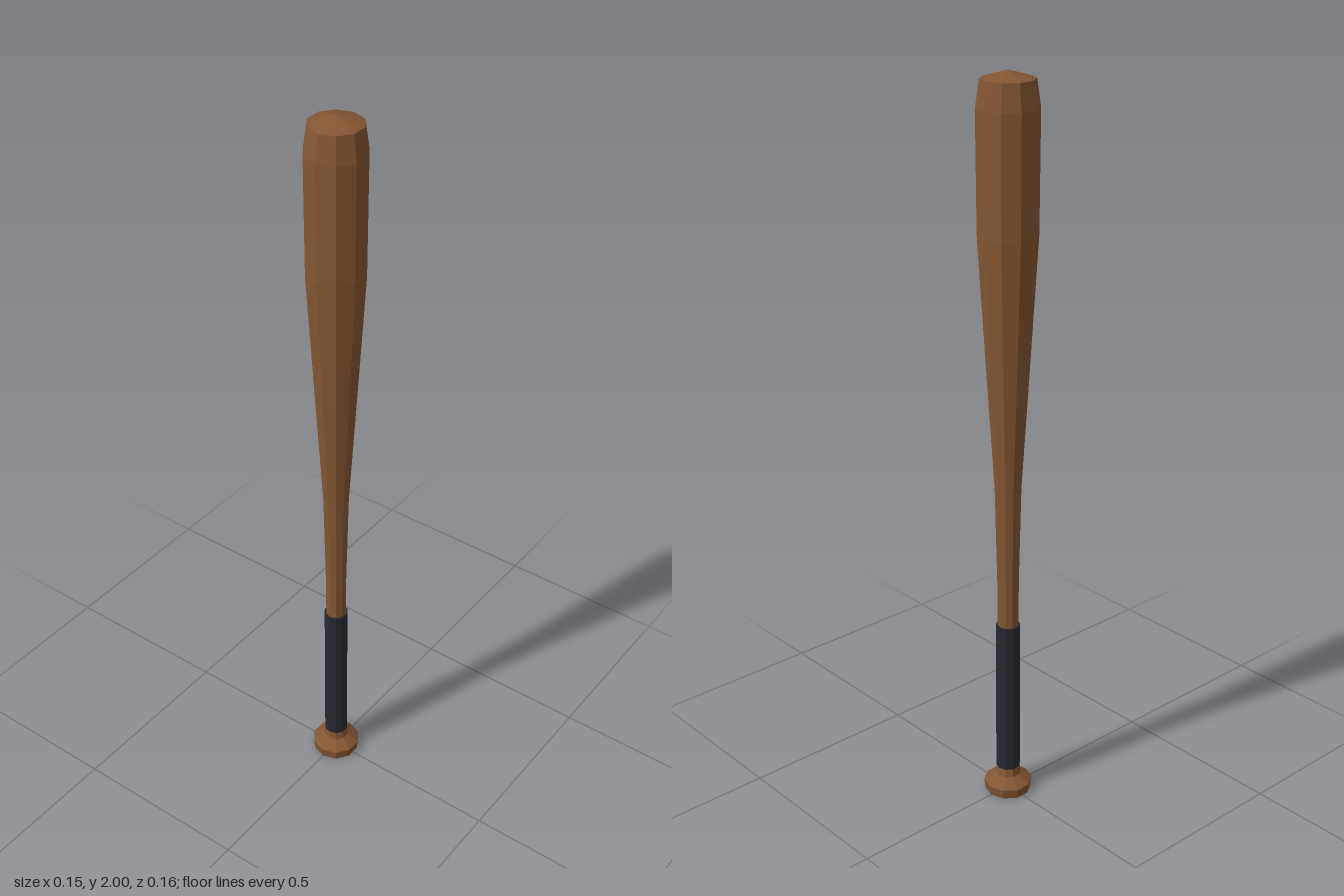
import * as THREE from 'three';

const SIDES = 10;

export function createModel() {
  const wood = new THREE.MeshStandardMaterial({ color: 0x845632 });
  wood.name = 'brown wood';
  wood.flatShading = true;
  const wrap = new THREE.MeshStandardMaterial({ color: 0x272731 });
  wrap.name = 'dark grip wrap';
  wrap.flatShading = true;

  const bat = new THREE.Group();
  bat.name = 'bat';

  // Turned part from [radius, height] pairs, listed bottom to top
  const turn = (name, material, profile) => {
    const points = profile.map(([r, y]) => new THREE.Vector2(r, y));
    const mesh = new THREE.Mesh(new THREE.LatheGeometry(points, SIDES), material);
    mesh.name = name;
    bat.add(mesh);
  };

  // Flared knob and the short neck above it
  turn('knob', wood, [[0, 0], [0.063, 0], [0.067, 0.028], [0.036, 0.052], [0.03, 0.085]]);

  // Wrapped grip with closed ends
  turn('grip', wrap, [[0, 0.075], [0.033, 0.075], [0.033, 0.52], [0, 0.52]]);

  // Slim handle widening into the barrel, with a shallow pointed cap
  turn('barrel', wood, [
    [0.028, 0.5], [0.029, 0.65], [0.035, 0.92], [0.055, 1.24], [0.077, 1.6],
    [0.079, 1.91], [0.069, 1.98], [0, 2],
  ]);

  return bat;
}
